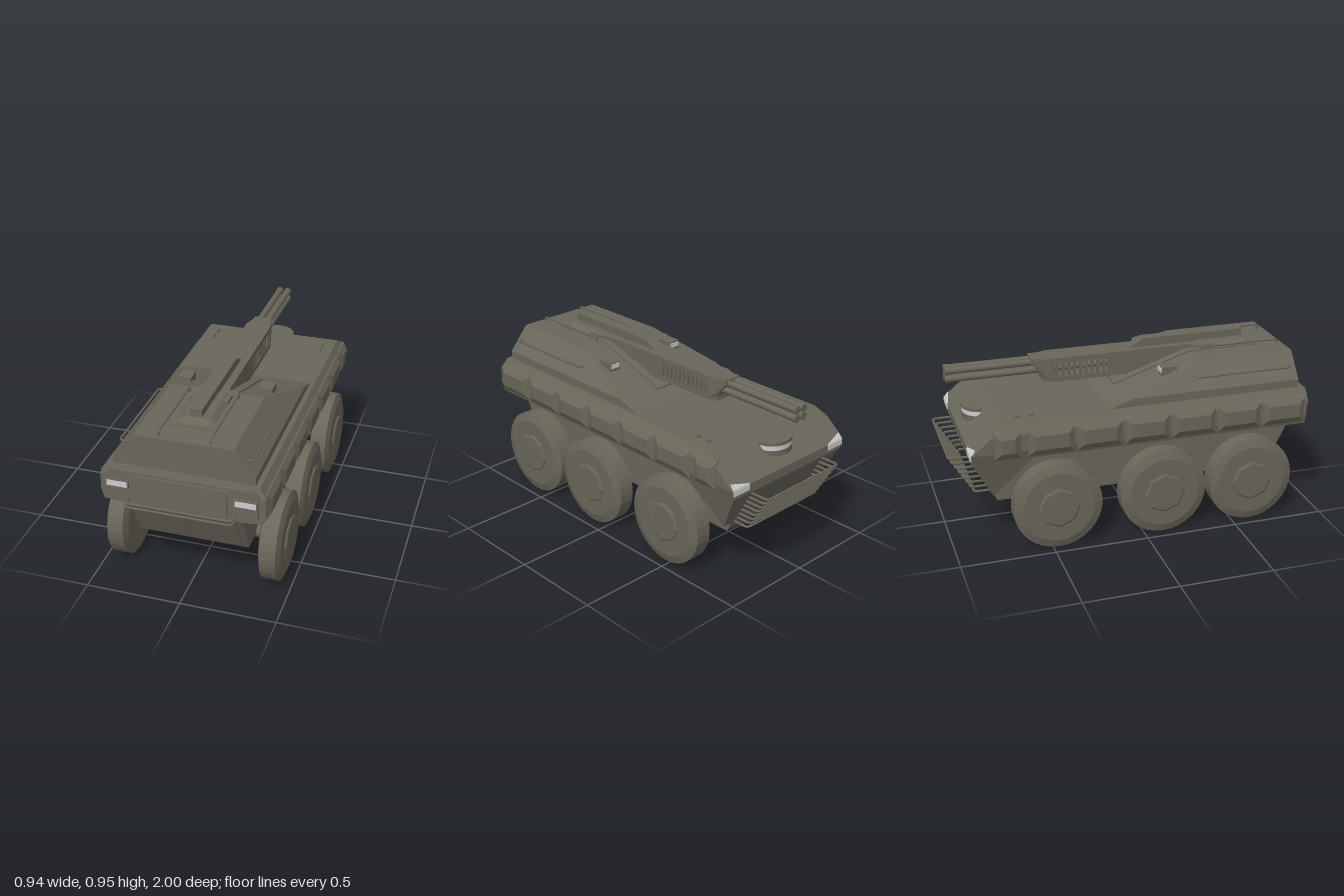
import * as THREE from 'three';
import { ConvexGeometry } from 'three/addons/geometries/ConvexGeometry.js';

export function createModel() {
  const root = new THREE.Group();
  root.name = 'armouredCar';
  const olive = new THREE.MeshStandardMaterial({ color: 0x69665a });
  olive.name = 'olive paint';
  const glass = new THREE.MeshStandardMaterial({ color: 0xcccccb });
  glass.name = 'pale lamp';

  const add = (name, geo, mat = olive, x = 0, y = 0, z = 0) => {
    const m = new THREE.Mesh(geo, mat);
    m.name = name;
    m.position.set(x, y, z);
    root.add(m);
    return m;
  };
  const box = (name, w, h, d, x, y, z, mat) => add(name, new THREE.BoxGeometry(w, h, d), mat, x, y, z);
  // Solid symmetric about x = 0, from half of its corners
  const mirrored = (pts) => new ConvexGeometry(pts.flatMap(([x, y, z]) =>
    [new THREE.Vector3(x, y, z), new THREE.Vector3(-x, y, z)]));
  const solid = (pts) => new ConvexGeometry(pts.map((p) => new THREE.Vector3(...p)));
  const shapeOf = (pts) => new THREE.Shape(pts.map((p) => new THREE.Vector2(...p)));
  const extrude = (pts, depth) => new THREE.ExtrudeGeometry(shapeOf(pts), { depth, bevelEnabled: false });
  // (z, y) profile swept across the width
  const across = (pts, w) => extrude(pts, w).translate(0, 0, -w / 2).rotateY(-Math.PI / 2);
  // Symmetric plan outline, half given as (x, z), with a thickness downwards from yTop
  const plan = (half, yTop, thick) => extrude(
    [...half, ...half.map(([x, z]) => [-x, z]).reverse()], thick).rotateX(Math.PI / 2).translate(0, yTop, 0);
  // Rectangular plate with cut corners, facing +z
  const plate = (w, h, c, d) => {
    const a = w / 2, b = h / 2;
    return extrude([[a - c, -b], [a, c - b], [a, b - c], [a - c, b],
      [c - a, b], [-a, b - c], [-a, c - b], [c - a, -b]], d);
  };
  // Bent round bar through a few points
  const bar = (name, pts, r) => {
    const path = new THREE.CurvePath();
    const v = pts.map((p) => new THREE.Vector3(...p));
    let from = v[0];
    for (let i = 1; i < v.length - 1; i++) {
      const cut = (to) => v[i].clone().add(to.clone().sub(v[i]).setLength(
        Math.min(0.02, to.distanceTo(v[i]) * 0.45)));
      const a = cut(v[i - 1]), b = cut(v[i + 1]);
      path.add(new THREE.LineCurve3(from, a));
      path.add(new THREE.QuadraticBezierCurve3(a, v[i], b));
      from = b;
    }
    path.add(new THREE.LineCurve3(from, v[v.length - 1]));
    add(name, new THREE.TubeGeometry(path, 60, r, 6));
  };

  // Hull
  add('upperHull', mirrored([
    [0.405, 0.51, 0.92], [0.42, 0.565, 0.92], [0.42, 0.655, 0.92], [0.385, 0.707, 0.905],
    [0.385, 0.707, -0.73], [0.42, 0.655, -0.792], [0.42, 0.565, -0.9], [0.405, 0.515, -0.9]]));
  add('lowerHull', across([[0.9, 0.52], [0.76, 0.24], [-0.755, 0.24], [-0.9, 0.52]], 0.58));
  add('rearPlate', plate(0.77, 0.18, 0.03, 0.02), olive, 0, 0.605, 0.915);
  for (const s of [-1, 1]) {
    // Raised side armour blocks
    for (let i = 0; i < 7; i++) {
      const z = i < 6 ? 0.785 - i * 0.255 : -0.715, l = i < 6 ? 0.122 : 0.07;
      add('sideArmour', solid([-1, 1].flatMap((e) => [
        [s * 0.4, 0.52, z + e * l], [s * 0.4, 0.68, z + e * l],
        [s * 0.418, 0.53, z + e * l], [s * 0.418, 0.668, z + e * l],
        [s * 0.438, 0.565, z + e * (l - 0.035)], [s * 0.438, 0.64, z + e * (l - 0.035)]])));
    }
    // Nose cheeks beside the grille
    add('noseCheek', solid([
      [s * 0.28, 0.52, -0.58], [s * 0.405, 0.52, -0.58], [s * 0.28, 0.52, -0.9], [s * 0.405, 0.52, -0.9],
      [s * 0.28, 0.37, -0.74], [s * 0.345, 0.37, -0.74], [s * 0.28, 0.295, -0.783], [s * 0.345, 0.295, -0.783]]));
    // Front corner lamps, wrapping over the nose edge
    box('frontLamp', 0.11, 0.03, 0.008, s * 0.355, 0.55, -0.901, glass);
    add('frontLampTop', solid([[s * 0.41, 0.568, -0.901], [s * 0.29, 0.568, -0.901],
      [s * 0.41, 0.596, -0.878], [s * 0.41, 0.56, -0.895]]), glass);
    // Rear lamps
    box('rearLampFrame', 0.118, 0.042, 0.012, s * 0.325, 0.622, 0.938);
    box('rearLamp', 0.105, 0.03, 0.006, s * 0.325, 0.622, 0.944, glass);
    // Lower rear doors on the sloped plate
    add('lowerRearDoor', plate(0.242, 0.246, 0.02, 0.008), olive, s * 0.136, 0.38, 0.829).rotation.x = 0.464;
    // Small deck handles
    for (const z of [-0.64, -0.57]) box('deckHandle', 0.012, 0.014, 0.03, s * 0.32, 0.713, z);
  }
  add('rearHatch', plate(0.465, 0.145, 0.01, 0.012), olive, 0, 0.608, 0.933);
  for (const y of [0.526, 0.548])
    bar('rearBumper', [[-0.27, y, 0.91], [-0.27, y, 0.99], [0.27, y, 0.99], [0.27, y, 0.91]], 0.007);

  // Nose grille bars
  for (let i = 0; i < 8; i++) {
    const y = 0.5 - i * 0.029, z = -0.993 + i * 0.0175, back = z + 0.13;
    bar('grilleBar', [[-0.268, y, back], [-0.268, y, z], [0.268, y, z], [0.268, y, back]], 0.007);
  }
  // Half-round front viewport
  const half = (r, h) => new THREE.CylinderGeometry(r, r, h, 20, 1, false, Math.PI / 2, Math.PI).scale(1, 1, 0.85);
  add('viewportHood', half(0.104, 0.018), olive, 0, 0.677, -0.785);
  add('viewportGlass', half(0.1, 0.03), glass, 0, 0.655, -0.785);
  add('viewportSill', half(0.104, 0.03), olive, 0, 0.627, -0.785);
  box('viewportBack', 0.208, 0.036, 0.006, 0, 0.668, -0.783);

  // Superstructure
  add('superstructure', mirrored([
    [0.36, 0.7, -0.19], [0.36, 0.7, 0.89], [0.36, 0.75, -0.037], [0.36, 0.75, 0.89],
    [0.25, 0.88, 0.36], [0.25, 0.88, 0.89]]));
  for (const s of [-1, 1]) {
    bar('roofRail', [[s * 0.13, 0.87, 0.86], [s * 0.13, 0.905, 0.86],
      [s * 0.13, 0.905, 0.41], [s * 0.13, 0.87, 0.41]], 0.006);
    bar('sideRail', [[s * 0.29, 0.815, 0.855], [s * 0.335, 0.815, 0.855],
      [s * 0.335, 0.815, 0.315], [s * 0.29, 0.815, 0.315]], 0.006);
    box('periscope', 0.07, 0.06, 0.085, s * 0.22, 0.83, 0.195);
    box('periscopeLens', 0.055, 0.025, 0.006, s * 0.22, 0.84, 0.151, glass);
  }

  // Gun mount and housing
  add('gunBed', across([[-0.07, 0.72], [-0.07, 0.748], [0.35, 0.886], [0.75, 0.886], [0.75, 0.86], [0.3, 0.84]], 0.23));
  add('gunBase', mirrored([[0.105, 0.88, 0.4], [0.105, 0.88, 0.7], [0.08, 0.88, 0.73],
    [0.07, 0.91, 0.42], [0.07, 0.91, 0.68], [0.06, 0.91, 0.7]]));
  add('gunSpine', across([[0.69, 0.9], [0.69, 0.95], [0.12, 0.95], [0.03, 0.9]], 0.06));
  add('gunCover', plan([[0.05, -0.5], [0.05, -0.45], [0.07, -0.4], [0.07, 0.37], [0.1, 0.42], [0.1, 0.5]], 0.905, 0.03));
  box('gunBody', 0.14, 0.125, 0.43, 0, 0.8375, 0.155);
  add('gunFloor', plan([[0.05, -0.44], [0.07, -0.4], [0.07, -0.02]], 0.8, 0.026));
  add('gunMuzzleBlock', mirrored([[0.07, 0.9, -0.38], [0.07, 0.78, -0.38], [0.07, 0.9, -0.4],
    [0.07, 0.78, -0.4], [0.05, 0.8, -0.44], [0.05, 0.9, -0.5], [0.05, 0.87, -0.49]]));
  for (let i = 0; i < 10; i++)
    for (const s of [-1, 1]) box('coolingRib', 0.012, 0.09, 0.017, s * 0.063, 0.838, -0.078 - i * 0.0318);
  for (const x of [-0.024, 0.024])
    for (const y of [0.838, 0.882]) {
      add('barrel', new THREE.CylinderGeometry(0.018, 0.018, 0.94, 12).rotateX(Math.PI / 2), olive, x, y, -0.475);
      add('muzzleRing', new THREE.CylinderGeometry(0.021, 0.021, 0.02, 12).rotateX(Math.PI / 2), olive, x, y, -0.94);
    }

  // Wheels: faceted tyres with octagonal hubs
  const turned = (pts, n) => {
    const g = new THREE.LatheGeometry(pts.map((p) => new THREE.Vector2(...p)), n).toNonIndexed();
    g.computeVertexNormals();
    return g.rotateZ(-Math.PI / 2);
  };
  const tyre = turned([[0, -0.057], [0.19, -0.057], [0.235, -0.042], [0.235, 0.042], [0.19, 0.058], [0, 0.058]], 32);
  const hub = turned([[0.112, 0.055], [0.112, 0.062], [0.1, 0.068], [0, 0.068]], 8);
  for (const s of [-1, 1])
    for (const z of [0.6, 0.105, -0.467]) {
      add('tyre', tyre, olive, s * 0.402, 0.237, z).rotation.y = s > 0 ? 0 : Math.PI;
      add('hub', hub, olive, s * 0.402, 0.237, z).rotation.y = s > 0 ? 0 : Math.PI;
      add('axle', new THREE.CylinderGeometry(0.037, 0.037, 0.08, 8).rotateZ(Math.PI / 2), olive, s * 0.312, 0.238, z);
    }
  return root;
}
